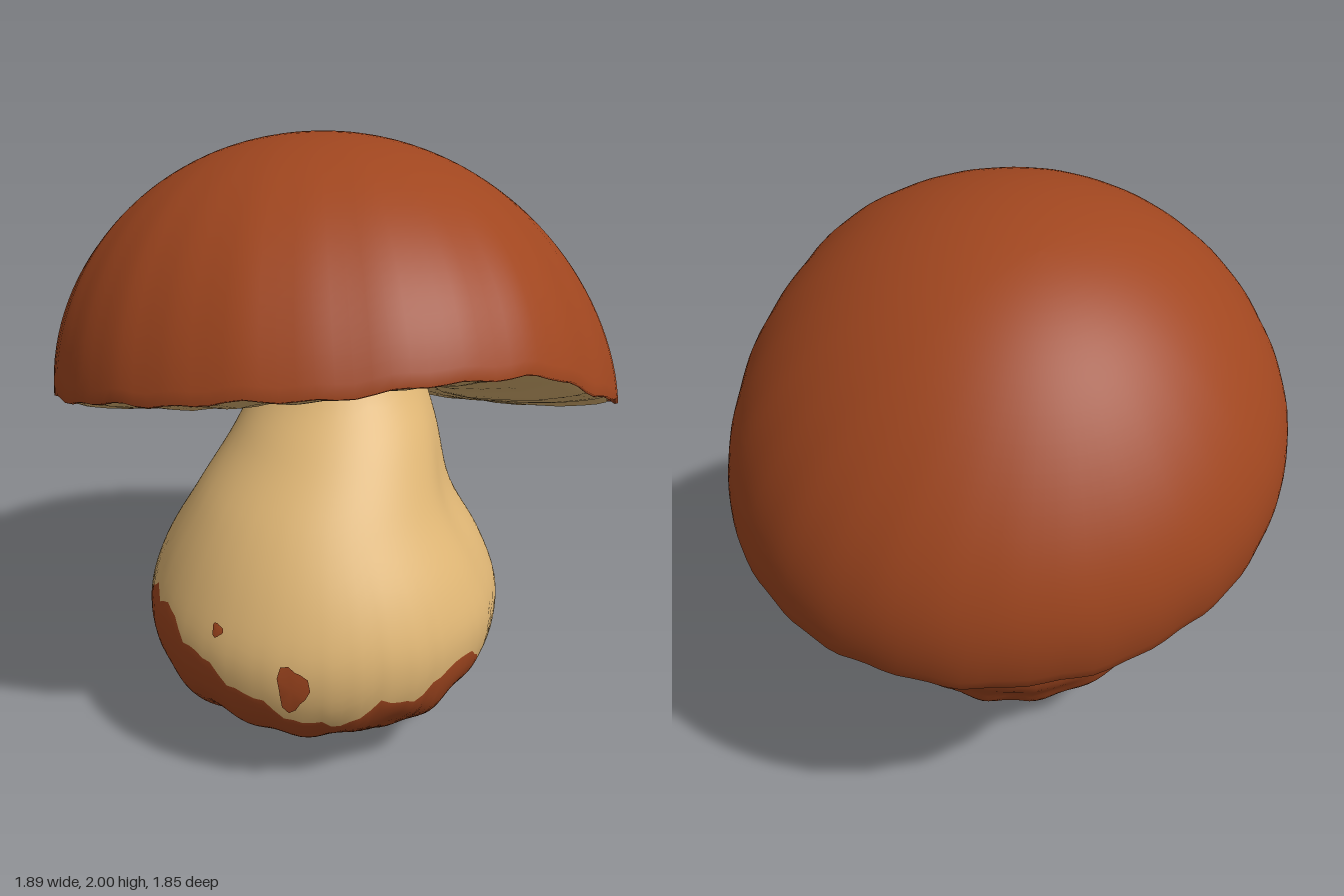
import * as THREE from 'three';

const SEG = 120;
const brown = new THREE.MeshStandardMaterial({ color: 0xa0461f });
brown.name = 'russet brown';
const cream = new THREE.MeshStandardMaterial({ color: 0xdeb574 });
cream.name = 'cream';

// Closed surface from rings; angle 0 faces +z and grows towards +x.
// splits: optional row numbers where the next material group begins.
function ringSurface(rows, point, splits = []) {
  const pos = [], index = [];
  for (let j = 0; j < rows; j++)
    for (let i = 0; i < SEG; i++) pos.push(...point((i / SEG) * Math.PI * 2, j));
  for (let j = 0; j < rows - 1; j++)
    for (let i = 0; i < SEG; i++) {
      const n = (i + 1) % SEG, a = j * SEG + i, b = j * SEG + n;
      index.push(a, b, b + SEG, a, b + SEG, a + SEG);
    }
  const g = new THREE.BufferGeometry();
  g.setAttribute('position', new THREE.Float32BufferAttribute(pos, 3));
  g.setIndex(index);
  g.computeVertexNormals();
  const edges = [0, ...splits, rows - 1];
  for (let k = 0; k < edges.length - 1; k++)
    g.addGroup(edges[k] * SEG * 6, (edges[k + 1] - edges[k]) * SEG * 6, k);
  return g;
}

function named(name, geometry, material) {
  const m = new THREE.Mesh(geometry, material);
  m.name = name;
  return m;
}

// Value at angle a from samples spaced evenly around the circle
function around(samples, a, smooth) {
  const n = samples.length, f = (a / (Math.PI * 2)) * n, k = Math.floor(f), t = f - k;
  const [p0, p1, p2, p3] = [-1, 0, 1, 2].map(d => samples[(k + d + n) % n]);
  if (!smooth) return THREE.MathUtils.lerp(p1, p2, t);
  return p1 + 0.5 * t * (p2 - p0 + t * (2 * p0 - 5 * p1 + 4 * p2 - p3 + t * (3 * (p1 - p2) + p3 - p0)));
}

// Stem cross-sections: y, x min, x max, z min, z max
const SECTIONS = [
  [0.00, -0.17, 0.02, 0.03, 0.19],
  [0.05, -0.41, 0.16, -0.16, 0.35],
  [0.15, -0.57, 0.30, -0.29, 0.55],
  [0.30, -0.70, 0.405, -0.42, 0.69],
  [0.48, -0.74, 0.455, -0.455, 0.73],
  [0.65, -0.69, 0.405, -0.41, 0.68],
  [0.86, -0.57, 0.295, -0.285, 0.55],
  [1.06, -0.40, 0.28, -0.24, 0.42],
  [1.24, -0.27, 0.27, -0.24, 0.29],
  [1.45, -0.25, 0.25, -0.24, 0.25],
];

// Smooth Hermite interpolation between the cross-sections
function section(y) {
  const S = SECTIONS, last = S.length - 1;
  let k = 0;
  while (k < last - 1 && y > S[k + 1][0]) k++;
  const h = S[k + 1][0] - S[k][0], t = (y - S[k][0]) / h, t2 = t * t, t3 = t2 * t;
  const slope = (i, c) => {
    const a = S[Math.max(i - 1, 0)], b = S[Math.min(i + 1, last)];
    return (b[c] - a[c]) / (b[0] - a[0]);
  };
  return [1, 2, 3, 4].map(c =>
    S[k][c] * (2 * t3 - 3 * t2 + 1) + S[k + 1][c] * (3 * t2 - 2 * t3) +
    h * (slope(k, c) * (t3 - 2 * t2 + t) + slope(k + 1, c) * (t3 - t2)));
}

function stemPoint(a, y, lift = 0) {
  const [x0, x1, z0, z1] = section(y);
  const s = Math.sin(a), c = Math.cos(a), rx = (x1 - x0) / 2, rz = (z1 - z0) / 2;
  // knobbly base, and a shallow crease at the front
  const fade = Math.max(0, 1 - y / 0.36);
  const px = rx * s, pz = rz * c;
  const knobs = Math.sin(22 * px + 12 * y) * Math.sin(24 * pz - 10 * y + 1) + 0.5 * Math.sin(16 * y + 17 * px - 19 * pz);
  const crease = Math.exp(-(((a - 0.75) / 0.22) ** 2) - ((y - 0.8) / 0.25) ** 2);
  const k = 1 - 0.045 * crease, out = 0.02 * fade * knobs + lift;
  return [(x0 + x1) / 2 + (rx * k + out) * s, Math.max(0, y - 0.014 * fade * knobs),
    (z0 + z1) / 2 + (rz * k + out) * c];
}

// Ragged top of the brown base, every 15 degrees from the front
const STAIN = [0.36, 0.46, 0.35, 0.40, 0.40, 0.41, 0.45, 0.42, 0.41, 0.40, 0.45, 0.50,
  0.52, 0.55, 0.63, 0.62, 0.46, 0.58, 0.56, 0.49, 0.42, 0.34, 0.28, 0.37];
const stainHeight = a =>
  around(STAIN, a, false) + 0.014 * Math.sin(19 * a) + 0.008 * Math.sin(41 * a);

function makeStem() {
  const low = 28, high = 28;
  const g = ringSurface(low + high + 2, (a, j) => {
    if (j === 0) return [-0.08, 0, 0.115];
    const b = stainHeight(a), r = j - 1;
    const y = r <= low ? b * (r / low) ** 1.6 : b + (1.45 - b) * (r - low) / high;
    return stemPoint(a, y);
  }, [low + 1]);
  return named('stem', g, [brown, cream]);
}

// Thin irregular stain following the stem surface
function makeSpot(a, y, da, dy) {
  const n = 14, pos = [...stemPoint(a, y, 0.008)], index = [];
  for (let i = 0; i < n; i++) {
    const t = (i / n) * Math.PI * 2, k = 1 + 0.2 * Math.sin(3 * t + 1);
    pos.push(...stemPoint(a + da * k * Math.cos(t), y + dy * k * Math.sin(t), 0.005));
    index.push(0, 1 + i, 1 + (i + 1) % n);
  }
  const g = new THREE.BufferGeometry();
  g.setAttribute('position', new THREE.Float32BufferAttribute(pos, 3));
  g.setIndex(index);
  g.computeVertexNormals();
  return named('stemSpot', g, brown);
}

// Tilted, wavy cap rim: heights every 30 degrees from the front
const CENTRE_Y = 1.15;
const RIM = [1.45, 1.25, 1.07, 0.935, 0.875, 0.87, 0.935, 1.04, 1.16, 1.28, 1.39, 1.45];
function rim(a) {
  const s = Math.sin(a), c = Math.cos(a);
  const wave = 0.005 * Math.sin(13 * a) + 0.005 * Math.sin(29 * a + 1);
  return [s * 0.944, around(RIM, a, true) - CENTRE_Y + wave, c * (c > 0 ? 0.93 : 0.893)];
}
const rimPoint = (a, f, lift) => {
  const [x, y, z] = rim(a);
  return [x * f, CENTRE_Y + y * f + lift, z * f];
};

function makeCap() {
  const AXIS = [0.116, 0.782, -0.27], rows = 36;
  const lip = [[0.955, 0.03], [0.975, 0.006], [0.99, -0.003]];
  return named('cap', ringSurface(lip.length + rows, (a, j) => {
    if (j < lip.length) return rimPoint(a, ...lip[j]);
    const t = (Math.PI / 2) * (1 - (j - lip.length) / (rows - 1));
    const [x, y, z] = rim(a), s = Math.sin(t), c = Math.cos(t);
    // the rim waves die out towards the crown, and the back right shoulder is flattened
    const plane = 0.285 * Math.cos(a) - 0.18 * Math.sin(a);
    const ry = THREE.MathUtils.lerp(plane, y, s ** 5);
    const side = 0.5 + 0.5 * Math.cos(a - 2.2);
    const k = 1 - (0.01 + 0.04 * side * side) * Math.sin(2 * t) ** 2;
    return [(x * s + AXIS[0] * c) * k, CENTRE_Y + (ry * s + AXIS[1] * c) * k, (z * s + AXIS[2] * c) * k];
  }), brown);
}

// Soft cushion under the cap with a groove around the stem, fuller at the back
function makeUnderside() {
  // share of rim radius, height offset, share of the extra fullness
  const profile = [[0.2, 0.17, 0], [0.27, 0.14, 0], [0.32, 0.08, 0], [0.38, 0.02, 0], [0.45, -0.01, 0.1],
    [0.55, -0.02, 0.3], [0.68, -0.02, 0.7], [0.8, -0.015, 1], [0.88, -0.005, 1], [0.93, 0.003, 0.95],
    [0.96, 0.01, 0.75], [0.975, 0.025, 0.2]];
  return named('capUnderside', ringSurface(profile.length, (a, j) => {
    const [f, lift, full] = profile[j];
    const ripple = 0.006 * Math.sin(5 * a + 4 * f) * Math.sin(Math.PI * f);
    return rimPoint(a, f, lift + ripple - 0.055 * full * (0.5 - 0.5 * Math.cos(a + 0.25)));
  }), cream);
}

export function createModel() {
  const group = new THREE.Group();
  group.name = 'mushroom';
  group.add(makeStem(), makeCap(), makeUnderside());
  for (const s of [[-0.73, 0.45, 0.08, 0.08], [-1.17, 0.59, 0.035, 0.02], [2.95, 0.93, 0.045, 0.016]])
    group.add(makeSpot(...s));
  return group;
}
